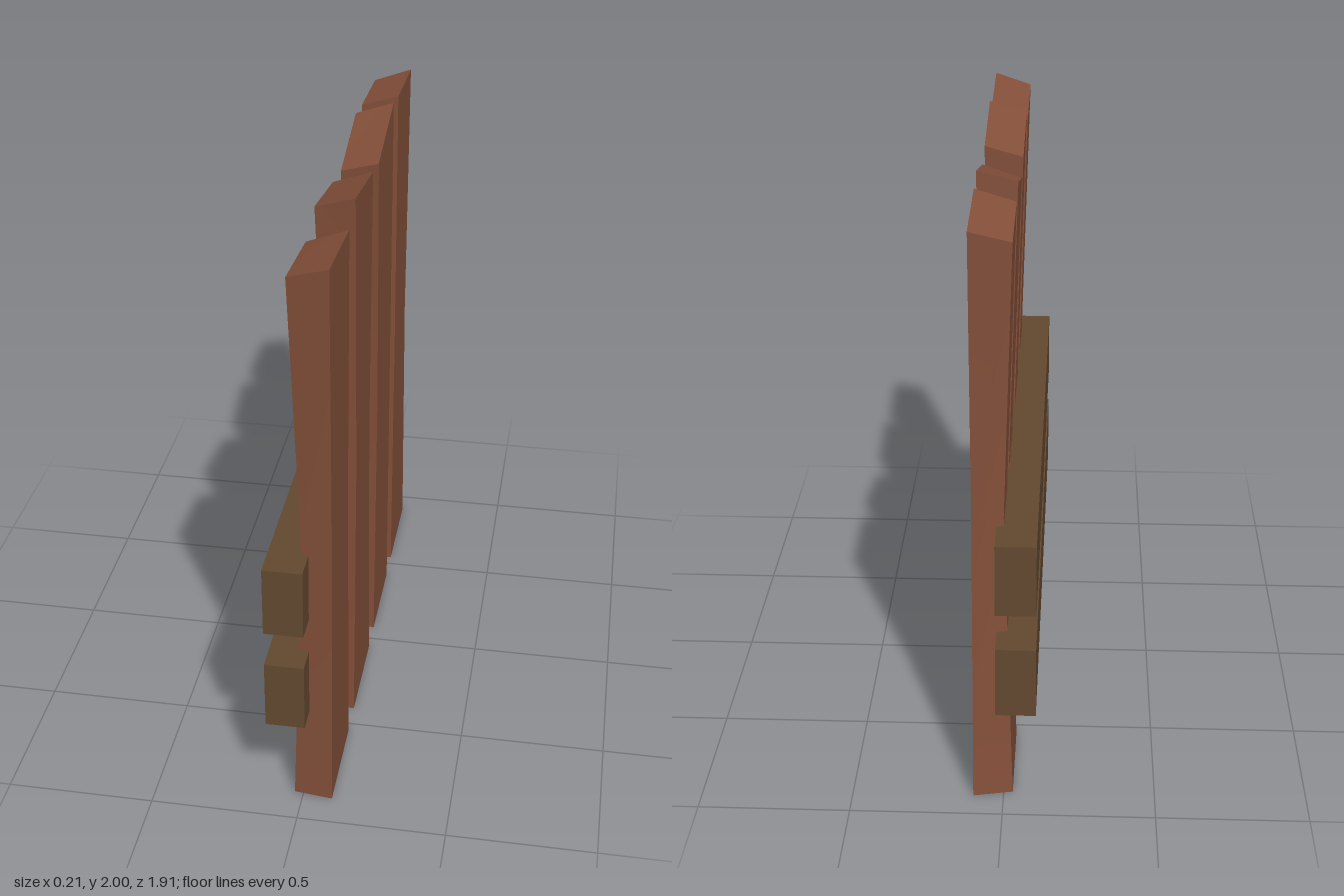
import * as THREE from 'three';
import { toCreasedNormals } from 'three/addons/utils/BufferGeometryUtils.js';

const plankMaterial = new THREE.MeshStandardMaterial({ color: 0x85503a });
const railMaterial = new THREE.MeshStandardMaterial({ color: 0x644a30 });

// Each plank: z of its two edges at bottom, middle and top, the two top heights,
// and how far each edge is drawn in on the back face.
const planks = [
  { near: [0.89, 0.865, 0.89], far: [0.535, 0.555, 0.535], top: [1.985, 1.95], inset: [0.015, 0.02] },
  { near: [0.415, 0.38, 0.415], far: [0.055, 0.09, 0.055], top: [2.0, 1.94], inset: [0.01, 0.01] },
  { near: [-0.07, -0.105, -0.075], far: [-0.425, -0.425, -0.425], top: [1.915, 2.0], inset: [0.015, 0.015] },
  { near: [-0.545, -0.555, -0.545], far: [-0.905, -0.845, -0.89], top: [1.98, 1.96], inset: [0.0, 0.025] },
];

// A box with a waist: its corners are moved to the plank's own edges.
function plankGeometry({ near, far, top, inset }) {
  const geometry = new THREE.BoxGeometry(1, 2, 1, 1, 2, 1);
  const p = geometry.attributes.position;
  for (let i = 0; i < p.count; i++) {
    const level = Math.round(p.getY(i)) + 1;
    const isBack = p.getX(i) < 0;
    const isNear = p.getZ(i) > 0;
    const x = isBack ? [-0.03, 0, -0.03][level] : 0.1;
    const topY = (isNear ? top[0] : top[1]) - (isBack ? 0.04 : 0);
    const y = [0, 1, topY][level];
    let z = isNear ? near[level] : far[level];
    if (isBack) z += isNear ? -inset[0] : inset[1];
    p.setXYZ(i, x, y, z);
  }
  return toCreasedNormals(geometry, Math.PI / 6);
}

export function createModel() {
  const fence = new THREE.Group();
  fence.name = 'fence';

  // Upright planks
  planks.forEach((plank, i) => {
    const mesh = new THREE.Mesh(plankGeometry(plank), plankMaterial);
    mesh.name = `plank${i + 1}`;
    fence.add(mesh);
  });

  // Two rails behind the planks
  [['lowerRail', 0.48], ['upperRail', 0.85]].forEach(([name, y]) => {
    const rail = new THREE.Mesh(new THREE.BoxGeometry(0.13, 0.245, 1.915), railMaterial);
    rail.name = name;
    rail.position.set(-0.042, y, 0);
    fence.add(rail);
  });

  return fence;
}
